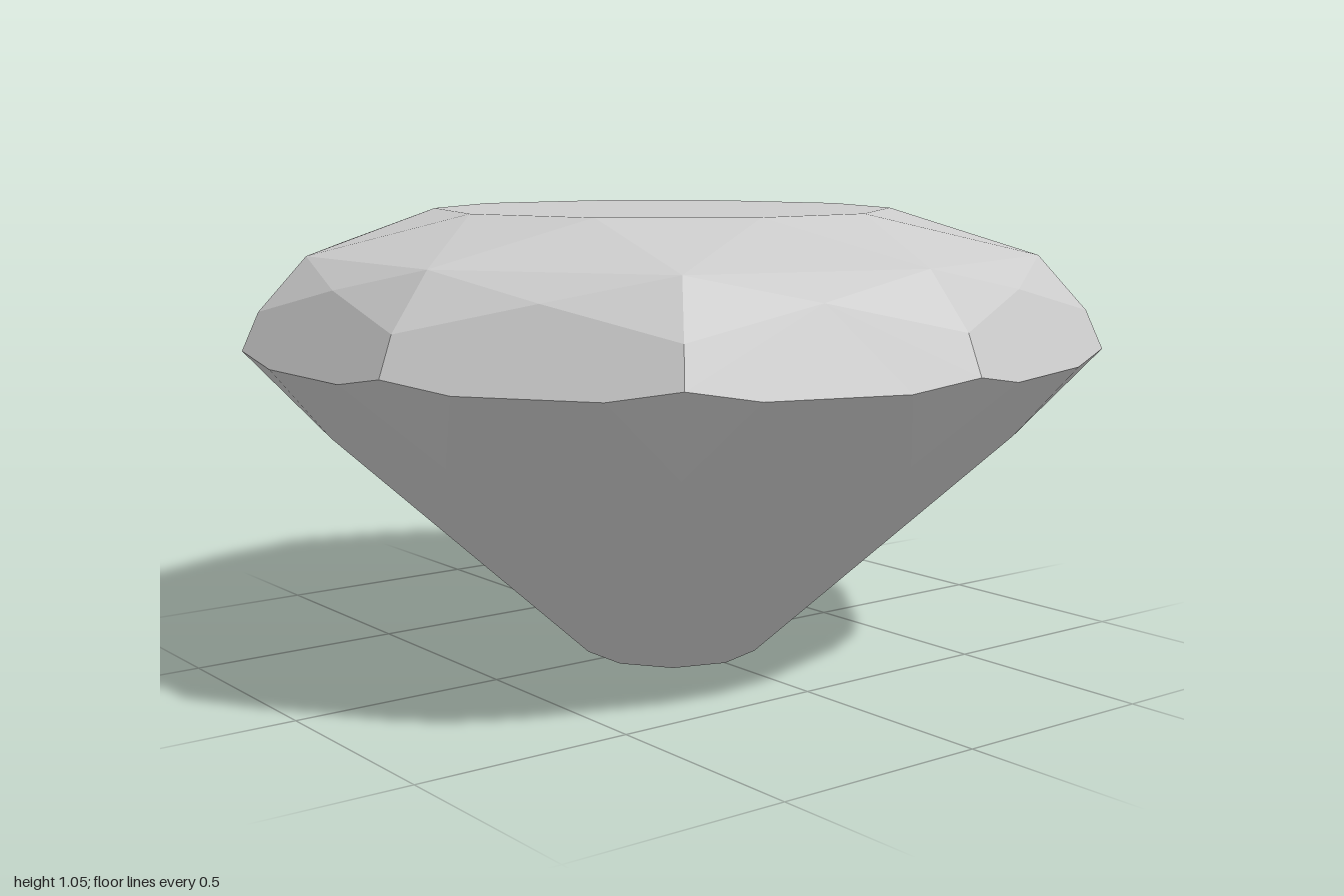
import * as THREE from 'three';

const SIDES = 10;

// Point at radius r, height y, t tenths of a turn round from +x towards +z
function at(r, y, t) {
  const a = (t / SIDES) * Math.PI * 2;
  return [r * Math.cos(a), y, r * Math.sin(a)];
}

// Flat-shaded mesh from convex facets, each fanned from its first corner
function facetMesh(name, facets, material) {
  const pos = [];
  for (const f of facets)
    for (let i = 1; i < f.length - 1; i++) pos.push(...f[0], ...f[i], ...f[i + 1]);
  const geo = new THREE.BufferGeometry();
  geo.setAttribute('position', new THREE.Float32BufferAttribute(pos, 3));
  geo.computeVertexNormals();
  const mesh = new THREE.Mesh(geo, material);
  mesh.name = name;
  return mesh;
}

export function createModel() {
  const material = new THREE.MeshStandardMaterial({ color: 0xcccccc, flatShading: true });

  // Girdle: raised corners, with a flat edge between each pair
  const corner = k => at(1, 0.755, k);
  const edgeA = k => at(0.973, 0.73, k + 0.245);
  const edgeB = k => at(0.973, 0.73, k + 0.755);
  // Crown points, from low to high
  const shoulder = k => at(0.962, 0.84, k);
  const peak = k => at(0.886, 0.905, k + 0.5);
  const star = k => at(0.854, 0.96, k);
  // Slightly uneven, hand-cut table outline
  const tableXZ = [
    [0.52, 0.16], [0.32, 0.445], [0, 0.55], [-0.33, 0.445], [-0.53, 0.176],
    [-0.53, -0.18], [-0.36, -0.41], [0, -0.52], [0.3, -0.42], [0.51, -0.14],
  ];
  const table = k => {
    const [x, z] = tableXZ[k % SIDES];
    return [x, 1.055, z];
  };
  // Pavilion points
  const kite = k => at(0.81, 0.55, k);
  const tip = k => at(0.21, 0, k);

  const crown = [], tableTop = [], pavilion = [], culet = [];
  for (let k = 0; k < SIDES; k++) {
    const n = k + 1;
    crown.push(
      [peak(k), shoulder(n), corner(n), edgeB(k), edgeA(k), corner(k), shoulder(k)],
      [star(k), star(n), peak(k)],
      [star(k), peak(k), shoulder(k)],
      [star(n), shoulder(n), peak(k)],
      [table(k), star(n), star(k)],
      [table(k), table(n), star(n)],
    );
    pavilion.push(
      [corner(k), edgeA(k), kite(k)],
      [corner(n), kite(n), edgeB(k)],
      [edgeA(k), edgeB(k), kite(n), tip(n), tip(k), kite(k)],
    );
    tableTop.unshift(table(k));
    culet.push(tip(k));
  }

  const gem = new THREE.Group();
  gem.name = 'cutGem';
  gem.add(
    facetMesh('crown', crown, material),
    facetMesh('table', [tableTop], material),
    facetMesh('pavilion', pavilion, material),
    facetMesh('culet', [culet], material),
  );
  return gem;
}
